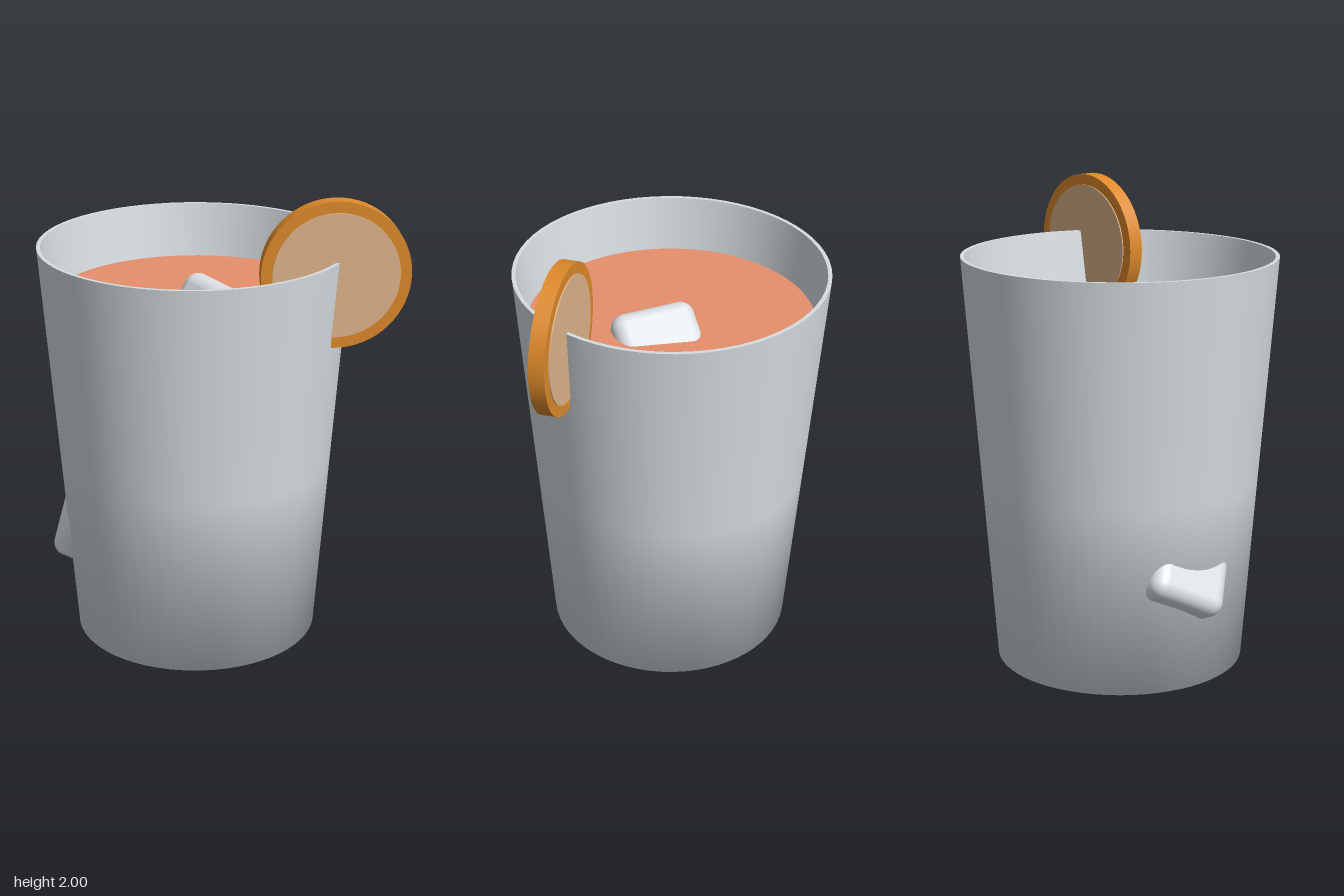
import * as THREE from 'three';
import { RoundedBoxGeometry } from 'three/addons/geometries/RoundedBoxGeometry.js';

const mat = (name, color) => {
  const m = new THREE.MeshStandardMaterial({ color });
  m.name = name;
  return m;
};

export function createModel() {
  const glassMat = mat('glass grey', 0xd6dde1);
  const iceMat = mat('ice white', 0xdde2e6);
  const drinkMat = mat('drink orange', 0xe6906c);
  const rindMat = mat('rind orange', 0xde8a2a);
  const pulpMat = mat('pulp tan', 0xe0b68c);

  const model = new THREE.Group();
  const add = (name, geometry, material, parent = model) => {
    const mesh = new THREE.Mesh(geometry, material);
    mesh.name = name;
    parent.add(mesh);
    return mesh;
  };

  // Tumbler: one lathe per smooth stretch, so the edges between stay sharp
  const tumbler = new THREE.Group();
  tumbler.name = 'tumbler';
  tumbler.position.x = -0.13;
  model.add(tumbler);
  const lathe = (name, pts) =>
    add(name, new THREE.LatheGeometry(pts.map(p => new THREE.Vector2(...p)), 64), glassMat, tumbler);
  lathe('baseAndOuterWall', [[0, 0], [0.53, 0], [0.59, 0.8], [0.662, 1.745]]);
  lathe('rim', [[0.662, 1.745], [0.645, 1.745]]);
  lathe('innerWall', [[0.645, 1.745], [0.6, 1.45]]);

  // Drink filling the tumbler
  const drink = add('drink', new THREE.CylinderGeometry(0.609, 0.505, 1.48, 64), drinkMat, tumbler);
  drink.position.y = 0.77;

  // Ice cubes: one breaking the surface, one poking through the wall
  const iceGeometry = new RoundedBoxGeometry(0.36, 0.36, 0.36, 5, 0.06);
  const floatingIce = add('floatingIce', iceGeometry, iceMat);
  floatingIce.position.set(-0.02, 1.365, -0.03);
  floatingIce.rotation.set(-0.54, -0.46, -0.09, 'YXZ');

  const sunkenIce = add('sunkenIce', iceGeometry, iceMat);
  const along = new THREE.Vector3(0.637, -0.45, 0.637).normalize();
  const outward = new THREE.Vector3(-0.455, 0.45, 0.774);
  const below = new THREE.Vector3().crossVectors(along, outward).normalize();
  outward.crossVectors(below, along);
  // Swing the cube around the tumbler's axis to its place on the wall
  const swing = new THREE.Quaternion().setFromAxisAngle(new THREE.Vector3(0, 1, 0), -0.53);
  sunkenIce.quaternion
    .setFromRotationMatrix(new THREE.Matrix4().makeBasis(along, outward, below))
    .premultiply(swing);
  sunkenIce.position.set(-0.5, 0.468, 0.14);

  // Citrus slice wedged on the rim
  const slice = new THREE.Group();
  slice.name = 'citrusSlice';
  slice.position.set(0.503, 1.69, 0);
  slice.rotation.y = 0.49;
  model.add(slice);
  const disc = (name, radius, depth, material, z) => {
    const mesh = add(name, new THREE.CylinderGeometry(radius, radius, depth, 64), material, slice);
    mesh.rotation.x = Math.PI / 2;
    mesh.position.z = z;
  };
  disc('rind', 0.31, 0.066, rindMat, 0);
  for (const side of [1, -1]) disc('pulp', 0.263, 0.008, pulpMat, side * 0.034);

  return model;
}
